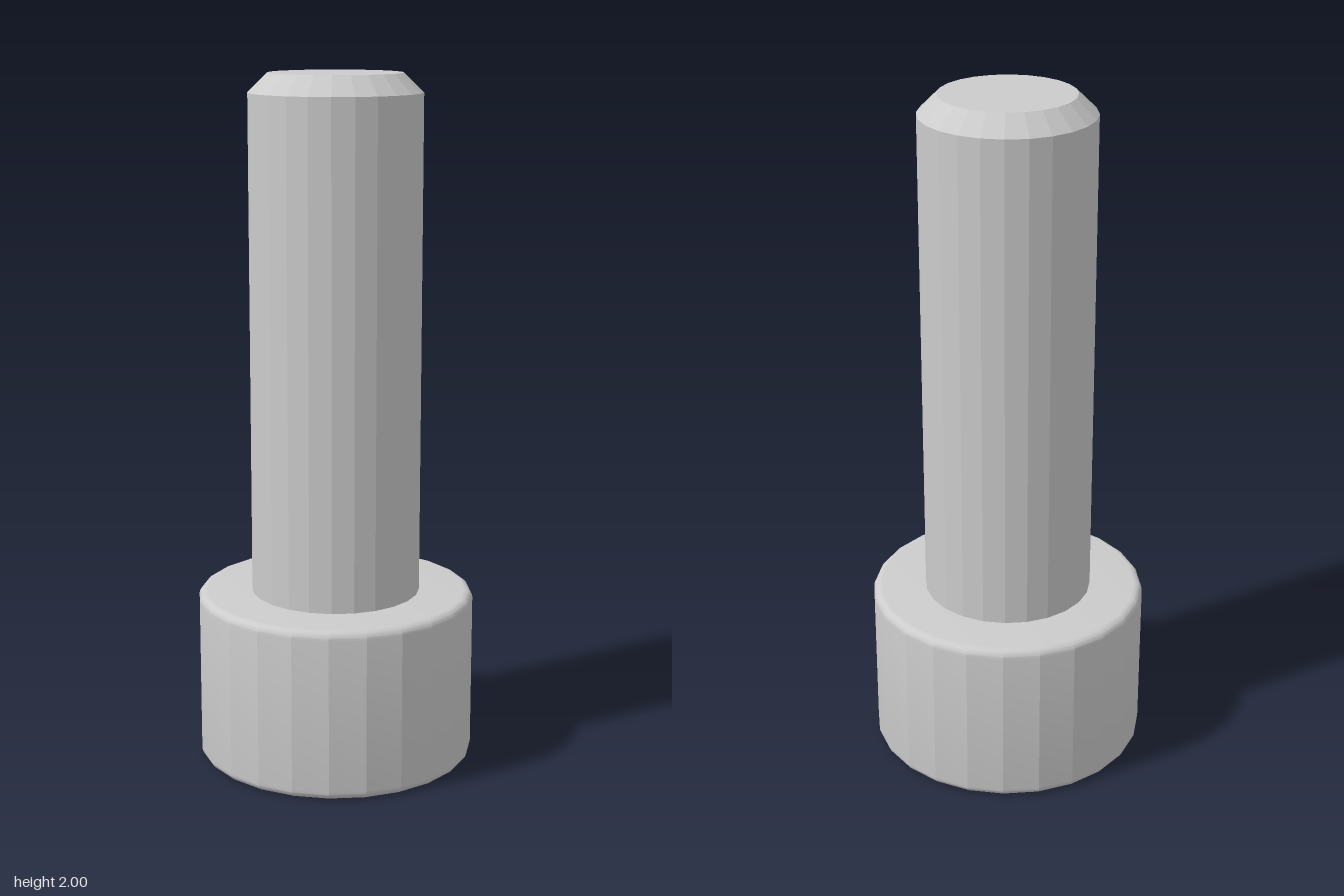
import * as THREE from 'three';
import { toCreasedNormals } from 'three/addons/utils/BufferGeometryUtils.js';

const SIDES = 24;
const HEAD_RADIUS = 0.405, HEAD_HEIGHT = 0.5, FILLET = 0.025;
const SHANK_RADIUS = 0.247, TIP_RADIUS = 0.191, CHAMFER_Y = 1.945, TOP_Y = 2;

// Turned part from a profile running bottom to top; edges sharper than crease (degrees) stay hard
function turned(name, profile, crease) {
  const lathe = new THREE.LatheGeometry(profile, SIDES);
  const geometry = toCreasedNormals(lathe, THREE.MathUtils.degToRad(crease));
  const mesh = new THREE.Mesh(geometry, new THREE.MeshStandardMaterial({ color: 0xcccccc }));
  mesh.name = name;
  return mesh;
}

// Quarter-circle of profile points for a rounded rim
function fillet(centreY, startAngle, steps = 8) {
  return Array.from({ length: steps + 1 }, (_, i) => {
    const a = startAngle + (i / steps) * Math.PI / 2;
    return new THREE.Vector2(
      HEAD_RADIUS - FILLET + FILLET * Math.cos(a),
      centreY + FILLET * Math.sin(a));
  });
}

export function createModel() {
  const bolt = new THREE.Group();
  bolt.name = 'bolt';

  // Cylindrical head with rounded rims and flat faceted wall
  bolt.add(turned('head', [
    new THREE.Vector2(0, 0),
    ...fillet(FILLET, -Math.PI / 2),
    ...fillet(HEAD_HEIGHT - FILLET, 0),
    new THREE.Vector2(0, HEAD_HEIGHT),
  ], 14));

  // Shank with a chamfered tip
  bolt.add(turned('shank', [
    new THREE.Vector2(SHANK_RADIUS, HEAD_HEIGHT),
    new THREE.Vector2(SHANK_RADIUS, CHAMFER_Y),
    new THREE.Vector2(TIP_RADIUS, TOP_Y),
    new THREE.Vector2(0, TOP_Y),
  ], 5));

  return bolt;
}
